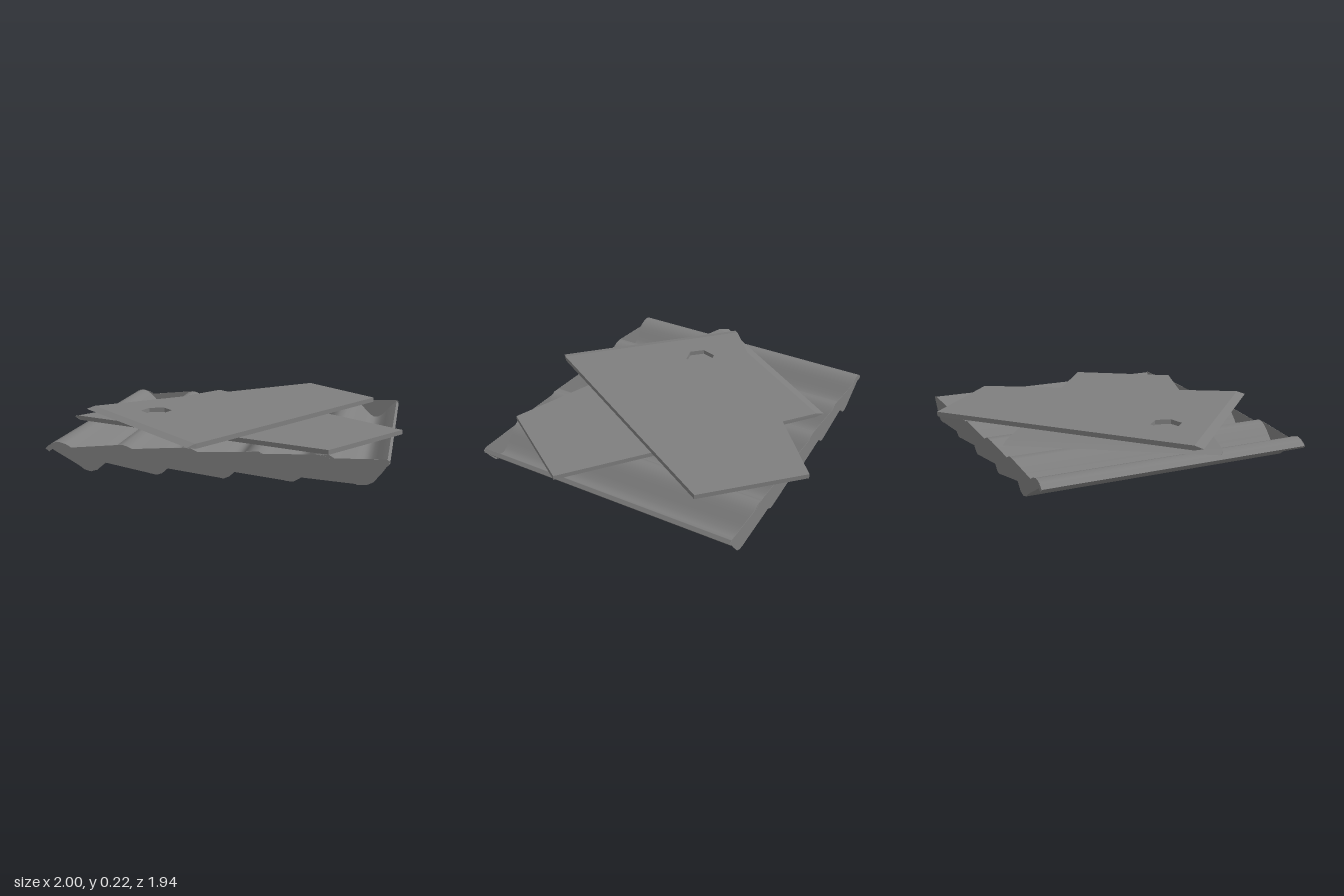
import * as THREE from 'three';
import { toCreasedNormals } from 'three/addons/utils/BufferGeometryUtils.js';

const vec = (pts) => pts.map(([x, y]) => new THREE.Vector2(x, y));

// Flat board lying in XZ. The outline is [x, z]; each tip [from, to] pushes the
// mid-height row of an outline corner outward, giving a pointed edge.
function boardGeometry(outline, top, thickness, tips, hole) {
  const shape = new THREE.Shape(vec(outline));
  if (hole) shape.holes.push(new THREE.Path(vec(hole)));
  const geo = new THREE.ExtrudeGeometry(shape, { depth: thickness, steps: 2, bevelEnabled: false });
  const p = geo.attributes.position;
  for (let i = 0; i < p.count; i++) {
    if (Math.abs(p.getZ(i) - thickness / 2) > 1e-4) continue;
    for (const [from, to] of tips) {
      if (Math.hypot(p.getX(i) - from[0], p.getY(i) - from[1]) < 1e-4) {
        p.setXY(i, to[0], to[1]);
        break;
      }
    }
  }
  geo.rotateX(Math.PI / 2);
  geo.translate(0, top, 0);
  geo.computeVertexNormals();
  return geo;
}

// Cross-section of the wavy sheet: a cosine centre line thickened along its normal
function waveOutline() {
  const amplitude = 0.068, k = 2 * Math.PI / 0.371, half = 0.012, steps = 60;
  const upper = [], lower = [];
  for (let i = 0; i <= steps; i++) {
    const x = -0.93 + 1.876 * i / steps;
    const a = k * (x + 0.868);
    const y = 0.084 + amplitude * Math.cos(a);
    const n = new THREE.Vector2(amplitude * k * Math.sin(a), 1).normalize().multiplyScalar(half);
    upper.push([x + n.x, y + n.y]);
    lower.push([x - n.x, y - n.y]);
  }
  return [...lower, ...upper.reverse()];
}

export function createModel() {
  const group = new THREE.Group();
  const grey = new THREE.MeshStandardMaterial({ color: 0x7f7f7f });
  grey.name = 'weathered grey';
  const add = (name, geo) => {
    const mesh = new THREE.Mesh(geo, grey);
    mesh.name = name;
    group.add(mesh);
  };

  // Corrugated pieces run back to front and are slightly out of square
  const skew = new THREE.Matrix4().set(1, 0, -0.004, 0, 0, 1, 0, 0, -0.005, 0, 1, 0, 0, 0, 0, 1);
  const run = (outline, z, depth) => {
    const geo = new THREE.ExtrudeGeometry(new THREE.Shape(vec(outline)), { depth, bevelEnabled: false });
    geo.translate(0, 0, z);
    geo.applyMatrix4(skew);
    return toCreasedNormals(geo, 0.75);
  };
  add('corrugatedSheet', run(waveOutline(), -0.81, 1.61));

  // Thin end plates closing off the waves
  const endOutline = [
    [-0.94, 0.124], [-0.92, 0.107], [-0.9, 0.122], [-0.78, 0.055], [-0.71, 0.014],
    [-0.68, 0.005], [-0.64, 0.016], [-0.62, 0.04], [-0.6, 0.06],
    [-0.33, 0.01], [-0.3, 0.005], [-0.27, 0.016], [-0.25, 0.045],
    [0.04, 0.008], [0.07, 0.003], [0.1, 0.016], [0.13, 0.043],
    [0.4, 0.011], [0.43, 0.014], [0.455, 0.034],
    [0.81, 0.009], [0.84, 0.01], [0.87, 0.025], [0.915, 0.08], [0.955, 0.14],
    [0.935, 0.152], [0.64, 0.144], [0.61, 0.156], [0.56, 0.161],
    [0.28, 0.15], [0.25, 0.16], [0.2, 0.158],
    [-0.07, 0.143], [-0.1, 0.157], [-0.13, 0.163], [-0.19, 0.162],
    [-0.44, 0.143], [-0.47, 0.158], [-0.5, 0.163], [-0.54, 0.16],
    [-0.79, 0.135], [-0.82, 0.153], [-0.86, 0.164], [-0.89, 0.16], [-0.92, 0.143],
  ];
  add('backEndPlate', run(endOutline, -0.811, 0.002));
  add('frontEndPlate', run(endOutline, 0.799, 0.002));

  // Lower board, pointed along its left edge
  add('lowerBoard', boardGeometry(
    [[-0.29, -0.76], [1, 0.26], [0.63, 0.805], [-0.94, 0.249], [-0.952, 0.242]],
    0.19, 0.026,
    [[[-0.29, -0.76], [-0.33, -0.792]], [[-0.952, 0.242], [-1, 0.205]]],
  ));

  // Upper board, pointed along its front left edge, with a six-sided hole
  const hole = [];
  for (let i = 0; i < 6; i++) {
    const a = i * Math.PI / 3 - 0.24;
    hole.push([-0.49 + 0.094 * Math.cos(a), 0.153 + 0.094 * Math.sin(a)]);
  }
  add('upperBoard', boardGeometry(
    [[-0.91, 0.09], [0.328, -0.975], [0.797, -0.515], [-0.05, 0.923], [-0.056, 0.93]],
    0.222, 0.028,
    [[[-0.91, 0.09], [-0.95, 0.1244]], [[-0.056, 0.93], [-0.092, 0.968]]],
    hole,
  ));
  return group;
}
